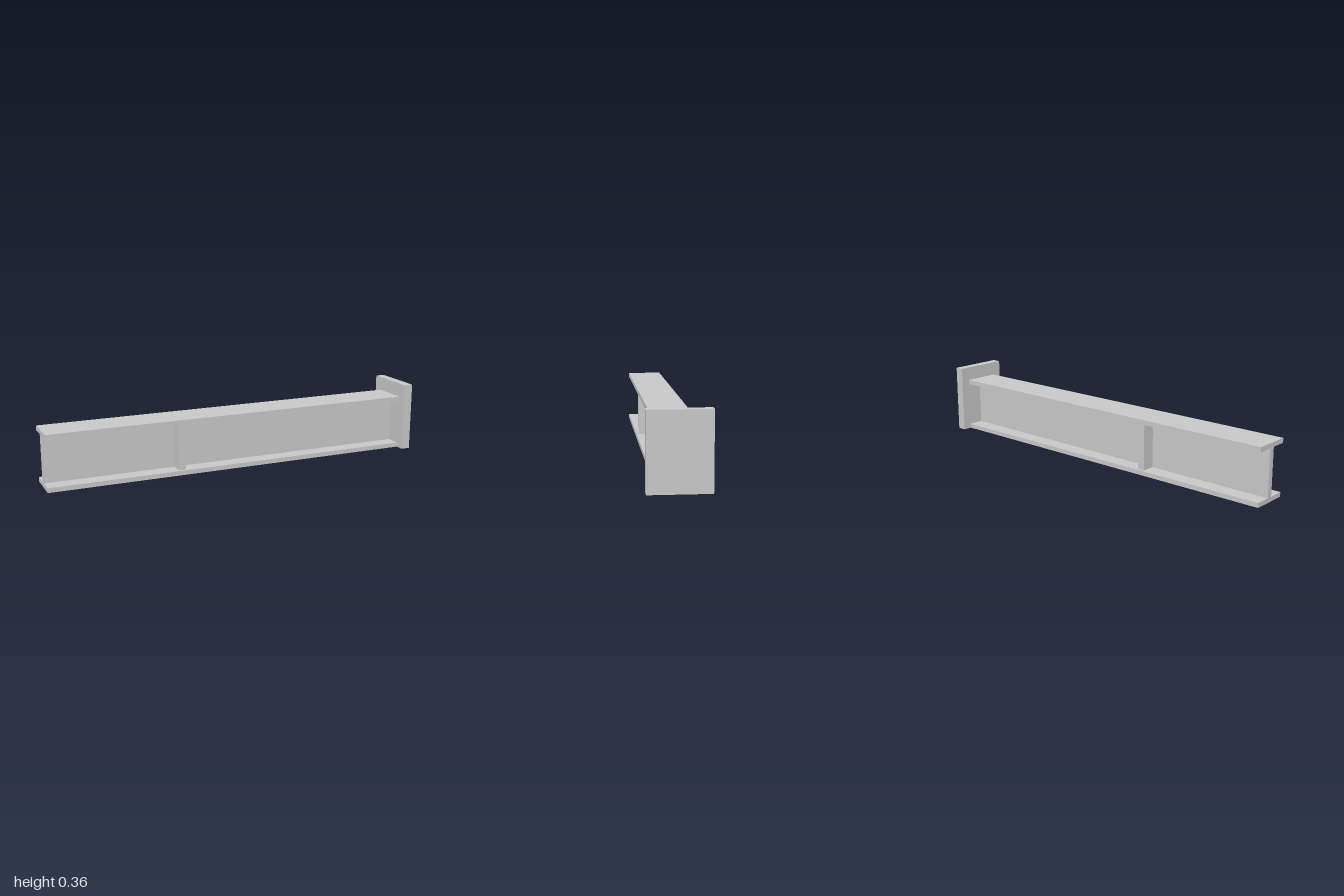
import * as THREE from 'three';

const HEIGHT = 0.285, FLANGE = 0.0235, WIDTH = 0.19, WEB = 0.03;
const LEFT = -1, PLATE_X = 0.953, STIFFENER_INSET = 0.012;

export function createModel() {
  const group = new THREE.Group();
  const steel = new THREE.MeshStandardMaterial({ color: 0xc7c7c7 });
  steel.name = 'lightSteelGrey';

  // Box given by its minimum and maximum corners
  const addBox = (name, [x0, y0, z0], [x1, y1, z1]) => {
    const mesh = new THREE.Mesh(new THREE.BoxGeometry(x1 - x0, y1 - y0, z1 - z0), steel);
    mesh.position.set((x0 + x1) / 2, (y0 + y1) / 2, (z0 + z1) / 2);
    mesh.name = name;
    group.add(mesh);
  };

  // I-section beam: one extruded profile along x
  const w = WIDTH / 2, t = WEB / 2, top = HEIGHT - FLANGE;
  const profile = new THREE.Shape([
    [-w, 0], [w, 0], [w, FLANGE], [t, FLANGE], [t, top], [w, top],
    [w, HEIGHT], [-w, HEIGHT], [-w, top], [-t, top], [-t, FLANGE], [-w, FLANGE],
  ].map(([x, y]) => new THREE.Vector2(x, y)));
  const beam = new THREE.Mesh(
    new THREE.ExtrudeGeometry(profile, { depth: PLATE_X - LEFT, bevelEnabled: false }), steel);
  beam.rotation.y = Math.PI / 2;
  beam.position.x = LEFT;
  beam.name = 'beam';
  group.add(beam);

  // Web stiffeners on both sides, set in from the flange edges
  const s = w - STIFFENER_INSET;
  addBox('frontStiffener', [-0.333, FLANGE, t], [-0.297, top, s]);
  addBox('backStiffener', [-0.333, FLANGE, -s], [-0.297, top, -t]);

  // End plate, rising above the top flange
  addBox('endPlate', [PLATE_X, 0, -0.1425], [1, 0.358, 0.1425]);

  return group;
}
